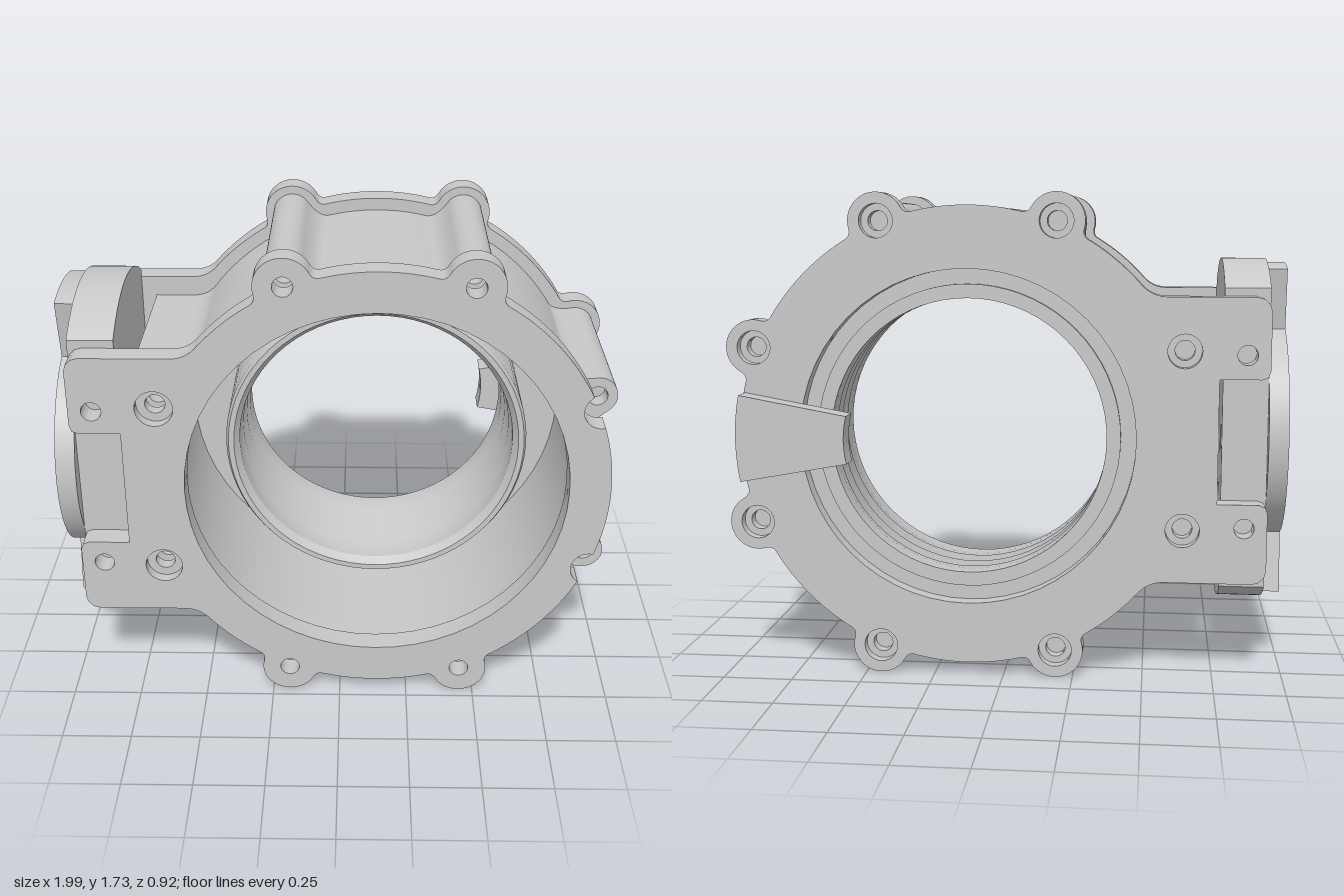
import * as THREE from 'three';
import { toCreasedNormals } from 'three/addons/utils/BufferGeometryUtils.js';

const CX = 0.13, CY = 0.87;      // axis of the ring
const BOLT_R = 0.828;            // bolt circle radius
const NOTCH_R = 0.063;           // clearance cut around a bolt column
const rad = d => d * Math.PI / 180;
const polar = (r, a) => [r * Math.cos(a), r * Math.sin(a)];

function circleHole(shape, x, y, r) {
  const p = new THREE.Path();
  p.absarc(x, y, r, 0, Math.PI * 2, true);
  shape.holes.push(p);
}

// Ring outline: a circle with six bolt positions, blended into a straight-sided block on the left.
// A position has a filleted lug, or a round notch where its lug radius is 0.
// lean is the slope of the lug flanks, blend the angular length of the fillet along the circle.
function ringOutline(R, lugRadius, halfHeight, leftPoints, lean, blend) {
  const s = new THREE.Shape();
  const corner = Math.PI - Math.asin(halfHeight / R);
  const cornerX = R * Math.cos(corner);
  const end = corner - 0.07;
  let from = -end;
  s.moveTo(...polar(R, from));
  for (const deg of [-112.5, -67.5, -22.5, 22.5, 67.5, 112.5]) {
    const a = rad(deg), r = lugRadius(deg), [ex, ey] = polar(BOLT_R, a);
    if (r === 0) {
      const phi = Math.acos((R * R + BOLT_R * BOLT_R - NOTCH_R * NOTCH_R) / (2 * R * BOLT_R));
      const [px, py] = polar(R, a - phi), [qx, qy] = polar(R, a + phi);
      s.absarc(0, 0, R, from, a - phi, false);
      s.absarc(ex, ey, NOTCH_R, Math.atan2(py - ey, px - ex), Math.atan2(qy - ey, qx - ex), true);
      from = a + phi;
      continue;
    }
    const rise = BOLT_R - R + r * Math.sin(lean);
    const foot = (r * Math.cos(lean) + rise * Math.tan(lean)) / R;
    const a0 = a - Math.PI / 2 + lean, a1 = a + Math.PI / 2 - lean;
    s.absarc(0, 0, R, from, a - foot - blend, false);
    s.quadraticCurveTo(...polar(R, a - foot), ex + r * Math.cos(a0), ey + r * Math.sin(a0));
    s.absarc(ex, ey, r, a0, a1, false);
    from = a + foot + blend;
    s.quadraticCurveTo(...polar(R, a + foot), ...polar(R, from));
  }
  s.absarc(0, 0, R, from, end, false);
  s.quadraticCurveTo(cornerX, halfHeight, cornerX - 0.06, halfHeight);
  for (const [x, y] of leftPoints) s.lineTo(x, y);
  for (const [x, y] of [...leftPoints].reverse()) s.lineTo(x, -y);
  s.lineTo(cornerX - 0.06, -halfHeight);
  s.quadraticCurveTo(cornerX, -halfHeight, ...polar(R, -end));
  return s;
}

// Bolt holes; skip leaves out positions without a lug
function boltHoles(shape, rLug, rLeft, skip = () => false) {
  for (let i = 0; i < 8; i++) {
    const deg = -157.5 + i * 45;
    if (!skip(deg)) circleHole(shape, ...polar(BOLT_R, rad(deg)), Math.abs(deg) > 135 ? rLeft : rLug);
  }
}

function extrude(shape, depth, segments = 28) {
  const g = new THREE.ExtrudeGeometry(shape, { depth, bevelEnabled: false, curveSegments: segments });
  return toCreasedNormals(g, rad(32));
}

// Mounting arms with rounded corners, upper half (mirrored for the lower one)
const ARM = [[-1.01, 0.505], [-1.035, 0.498], [-1.053, 0.48], [-1.06, 0.455],
  [-1.06, 0.25], [-1.052, 0.228], [-1.03, 0.22], [-0.885, 0.22]];

export function createModel() {
  const model = new THREE.Group();
  const metal = new THREE.MeshStandardMaterial({ color: 0xc8c8c8 });
  metal.name = 'grey metal';

  const add = (name, geometry, x, y, z) => {
    const m = new THREE.Mesh(geometry, metal);
    m.name = name;
    m.position.set(x, y, z);
    model.add(m);
  };

  // One layer of a flange plate
  function plate(name, z0, z1, lug, bore, rLug, rLeft) {
    const s = ringOutline(0.82, lug, 0.505, ARM, 0.15, 0.03);
    circleHole(s, 0, 0, bore);
    boltHoles(s, rLug, rLeft, deg => lug(deg) === 0);
    for (const y of [0.305, -0.305]) circleHole(s, -0.98, y, 0.035);
    add(name, extrude(s, z1 - z0), CX, CY, z0);
  }
  const frontLug = deg => Math.abs(deg) < 30 ? 0 : 0.1;
  plate('frontFlangeInner', 0.375, 0.42, frontLug, 0.675, 0.035, 0.035);
  plate('frontFlangeOuter', 0.42, 0.46, frontLug, 0.675, 0.035, 0.066);
  plate('backFlangeInner', -0.335, -0.29, () => 0.1, 0.6, 0.035, 0.035);
  plate('backFlangeOuter', -0.375, -0.335, () => 0.1, 0.6, 0.06, 0.06);

  // Housing wall with bolt columns, drilled at the front end
  function wall(name, z0, z1, drilled) {
    const s = ringOutline(0.775, () => 0.07, 0.43, [[-0.845, 0.43]], 0.25, 0.05);
    circleHole(s, 0, 0, 0.715);
    if (drilled) boltHoles(s, 0.035, 0.035);
    add(name, extrude(s, z1 - z0), CX, CY, z0);
  }
  wall('housingWall', -0.29, 0.27, false);
  wall('housingWallFront', 0.27, 0.335, true);

  // Floor and stepped hub
  const profile = [[0.72, -0.25], [0.56, -0.25], [0.56, 0.1], [0.55, 0.12], [0.53, 0.12], [0.51, 0.09],
    [0.51, -0.02], [0.505, -0.03], [0.505, -0.13], [0.5, -0.14], [0.5, -0.23], [0.495, -0.24],
    [0.495, -0.335], [0.545, -0.335], [0.545, -0.315], [0.61, -0.315], [0.61, -0.285],
    [0.72, -0.285], [0.72, -0.25]];
  const hub = new THREE.LatheGeometry(profile.map(p => new THREE.Vector2(...p)), 72);
  hub.rotateX(Math.PI / 2);
  add('hub', toCreasedNormals(hub, rad(30)), CX, CY, 0);

  // Wedge-shaped tab on the back
  const tab = new THREE.Shape();
  tab.moveTo(0.415, -0.085);
  tab.lineTo(0.8, -0.155);
  tab.quadraticCurveTo(0.83, 0, 0.8, 0.155);
  tab.lineTo(0.415, 0.085);
  tab.quadraticCurveTo(0.435, 0, 0.415, -0.085);
  add('backTab', extrude(tab, 0.09), CX, CY, -0.46);

  // Side coupling: truncated disc and hourglass face, with blind bolt holes from both sides
  function coupling(name, shape, x, depth, bolts) {
    circleHole(shape, 0, 0, 0.15);
    for (let i = 0; i < bolts; i++) circleHole(shape, ...polar(0.27, i * Math.PI / 3), 0.045);
    const g = extrude(shape, depth);
    g.rotateY(-Math.PI / 2);
    add(name, g, x, CY, 0.04);
  }
  function discShape() {
    const disc = new THREE.Shape();
    const cut = Math.acos(0.335 / 0.63);
    disc.absarc(0, 0, 0.63, cut, Math.PI - cut, false);
    disc.absarc(0, 0, 0.63, Math.PI + cut, 2 * Math.PI - cut, false);
    disc.closePath();
    return disc;
  }
  coupling('couplingDiscInner', discShape(), -0.77, 0.08, 6);
  coupling('couplingDiscOuter', discShape(), -0.85, 0.08, 0);

  const face = new THREE.Shape();
  for (const a of [0, 180]) {
    face.absarc(0, 0, 0.395, rad(a - 72), rad(a + 72), false);
    face.absarc(0, 0, 0.615, rad(a + 75), rad(a + 105), false);
  }
  face.closePath();
  coupling('couplingFace', face, -0.93, 0.07, 6);

  return model;
}
